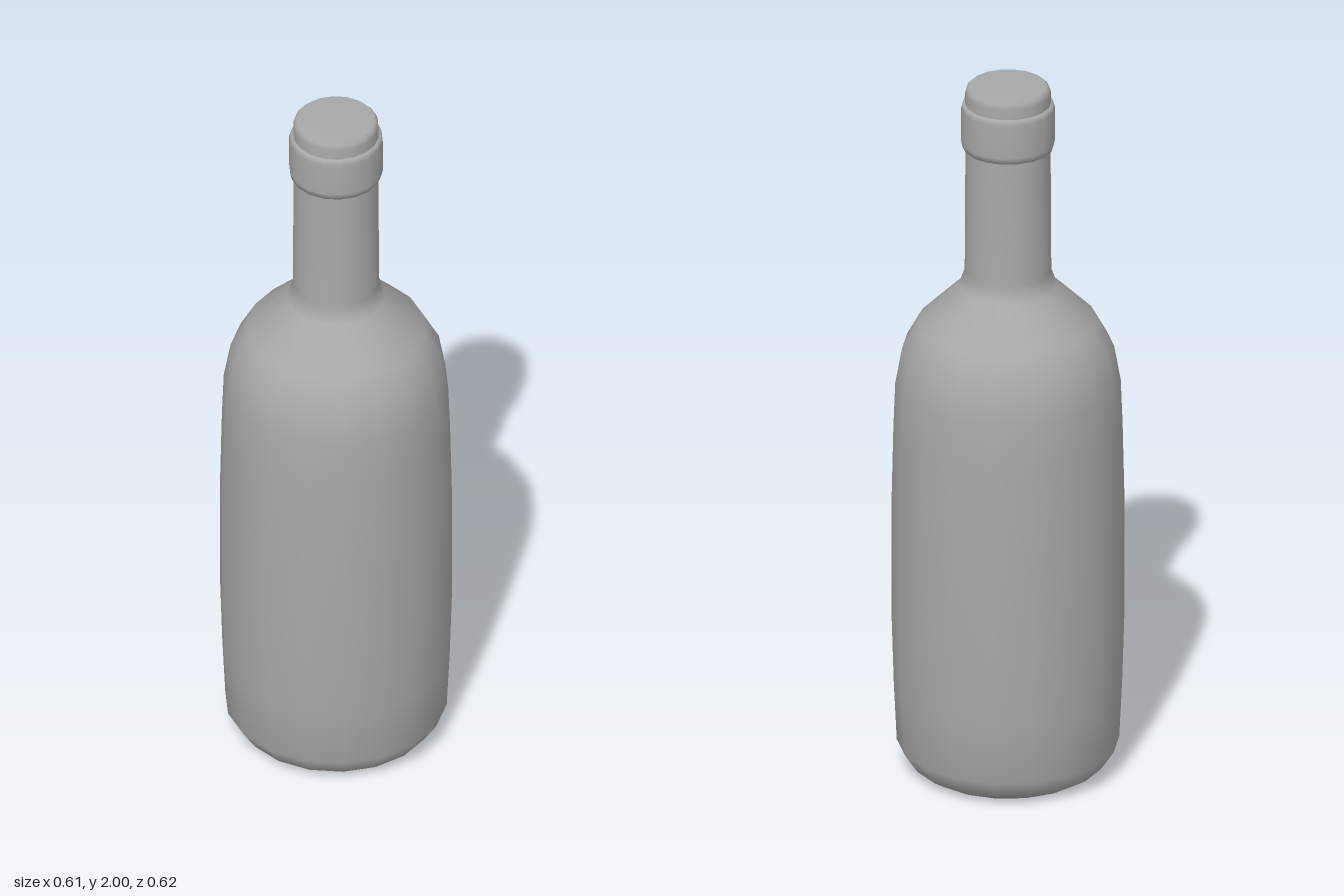
import * as THREE from 'three';

const SIDES = 18;

export function createModel() {
  const bottle = new THREE.Group();
  bottle.name = 'bottle';
  const grey = new THREE.MeshStandardMaterial({ color: 0xa8a8a8 });
  grey.name = 'grey';

  // Turns a [radius, height] profile, listed from bottom to top
  const turn = (name, profile) => {
    const points = profile.map(([r, y]) => new THREE.Vector2(r, y));
    const mesh = new THREE.Mesh(new THREE.LatheGeometry(points, SIDES), grey);
    mesh.name = name;
    bottle.add(mesh);
  };

  // Base, gently bulging body, shoulder and neck
  turn('body', [
    [0, 0], [0.23, 0.005], [0.262, 0.025], [0.298, 0.08], [0.306, 0.25],
    [0.312, 0.45], [0.312, 0.78], [0.307, 1.0], [0.302, 1.13], [0.284, 1.23],
    [0.24, 1.31], [0.133, 1.415], [0.116, 1.46], [0.114, 1.83],
  ]);

  // Raised ring around the mouth
  turn('collar', [
    [0.108, 1.822], [0.122, 1.822], [0.126, 1.84], [0.126, 1.935],
    [0.122, 1.95], [0.108, 1.95],
  ]);

  // Stopper closing the mouth
  turn('stopper', [
    [0.115, 1.94], [0.115, 1.98], [0.112, 1.992], [0.104, 2], [0, 2],
  ]);

  return bottle;
}
